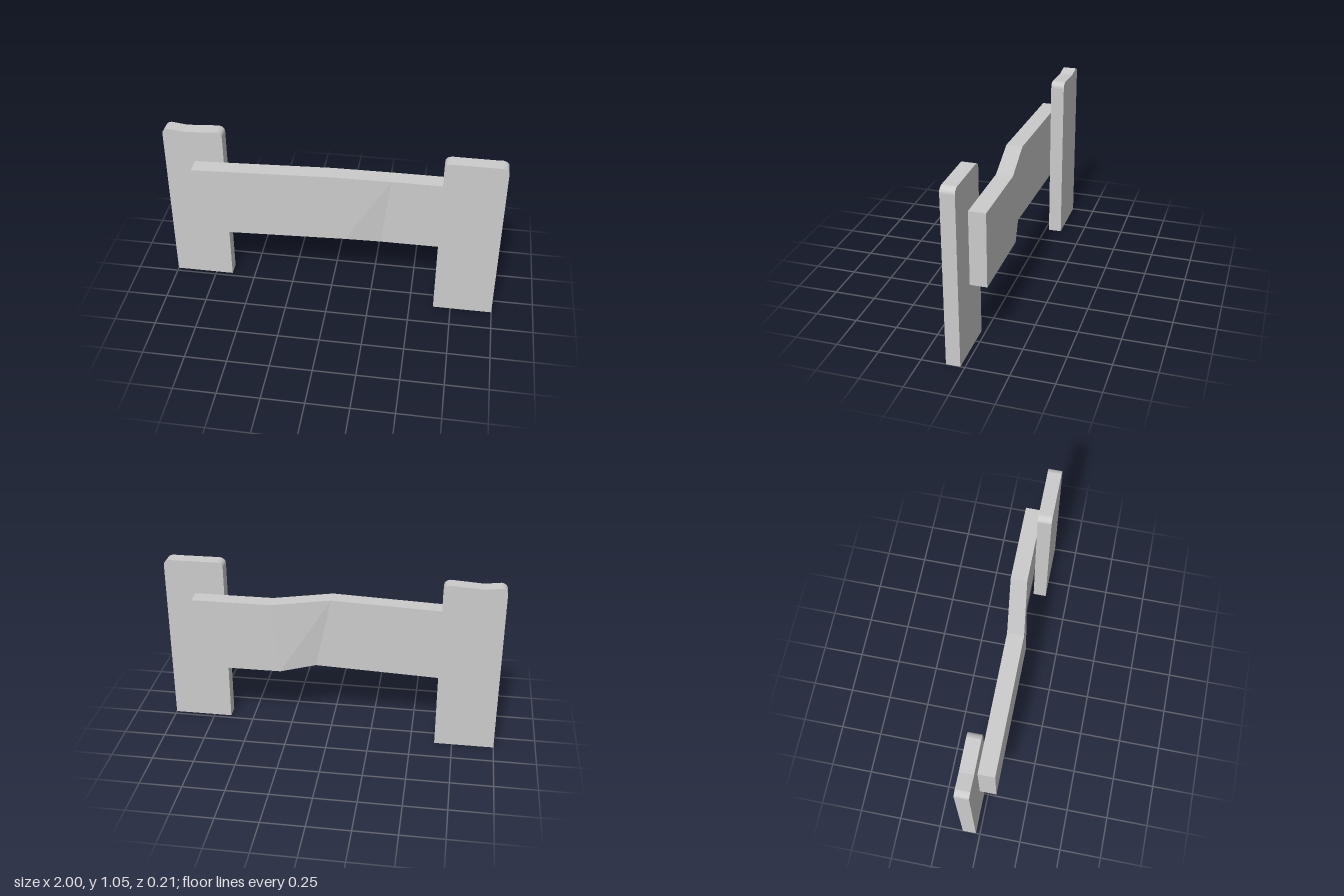
import * as THREE from 'three';

const material = new THREE.MeshStandardMaterial({ color: 0xcccccc, flatShading: true });

// Upright plank: left/right edges, the rim between its rounded top corners, back z
function makePost(name, x0, x1, rim, z) {
  const s = new THREE.Shape();
  s.moveTo(x0, 0);
  s.lineTo(x1, 0);
  s.lineTo(x1, 1.015);
  s.quadraticCurveTo(x1, 1.043, x1 - 0.035, 1.05);
  for (const [x, y] of rim) s.lineTo(x, y);
  s.lineTo(x0 + 0.035, 1.05);
  s.quadraticCurveTo(x0, 1.043, x0, 1.015);
  s.closePath();
  const geo = new THREE.ExtrudeGeometry(s, { depth: 0.082, bevelEnabled: false, curveSegments: 6 });
  const post = new THREE.Mesh(geo, material);
  post.name = name;
  post.position.z = z;
  return post;
}

// Cranked rail: rectangular cross-sections, with slanted folds
function makeRail() {
  // [top x, top y, bottom x, bottom y, centre z]
  const sections = [
    [-0.82, 0.841, -0.82, 0.401, 0.024],
    [0, 0.874, 0.09, 0.438, 0.024],
    [0.35, 0.844, 0.3, 0.405, -0.024],
    [0.82, 0.844, 0.82, 0.405, -0.024],
  ];
  const half = 0.049;
  const pos = [], idx = [];
  for (const [tx, ty, bx, by, z] of sections) {
    pos.push(bx, by, z + half, tx, ty, z + half, tx, ty, z - half, bx, by, z - half);
  }
  const quad = (a, b, c, d) => idx.push(a, b, c, a, c, d);
  for (let i = 0; i < sections.length - 1; i++) {
    for (let j = 0; j < 4; j++) {
      const k = (j + 1) % 4;
      quad(i * 4 + j, i * 4 + 4 + j, i * 4 + 4 + k, i * 4 + k);
    }
  }
  const e = (sections.length - 1) * 4;
  quad(0, 1, 2, 3);
  quad(e + 3, e + 2, e + 1, e);
  const indexed = new THREE.BufferGeometry();
  indexed.setAttribute('position', new THREE.Float32BufferAttribute(pos, 3));
  indexed.setIndex(idx);
  const geo = indexed.toNonIndexed();
  geo.computeVertexNormals();
  const rail = new THREE.Mesh(geo, material);
  rail.name = 'rail';
  return rail;
}

export function createModel() {
  const model = new THREE.Group();
  model.name = 'fence';
  model.add(
    makePost('rightPost', -1, -0.645, [[-0.76, 1.045], [-0.87, 1.038]], -0.107),
    makePost('leftPost', 0.645, 1, [[0.93, 1.049]], 0.025),
    makeRail(),
  );
  return model;
}
